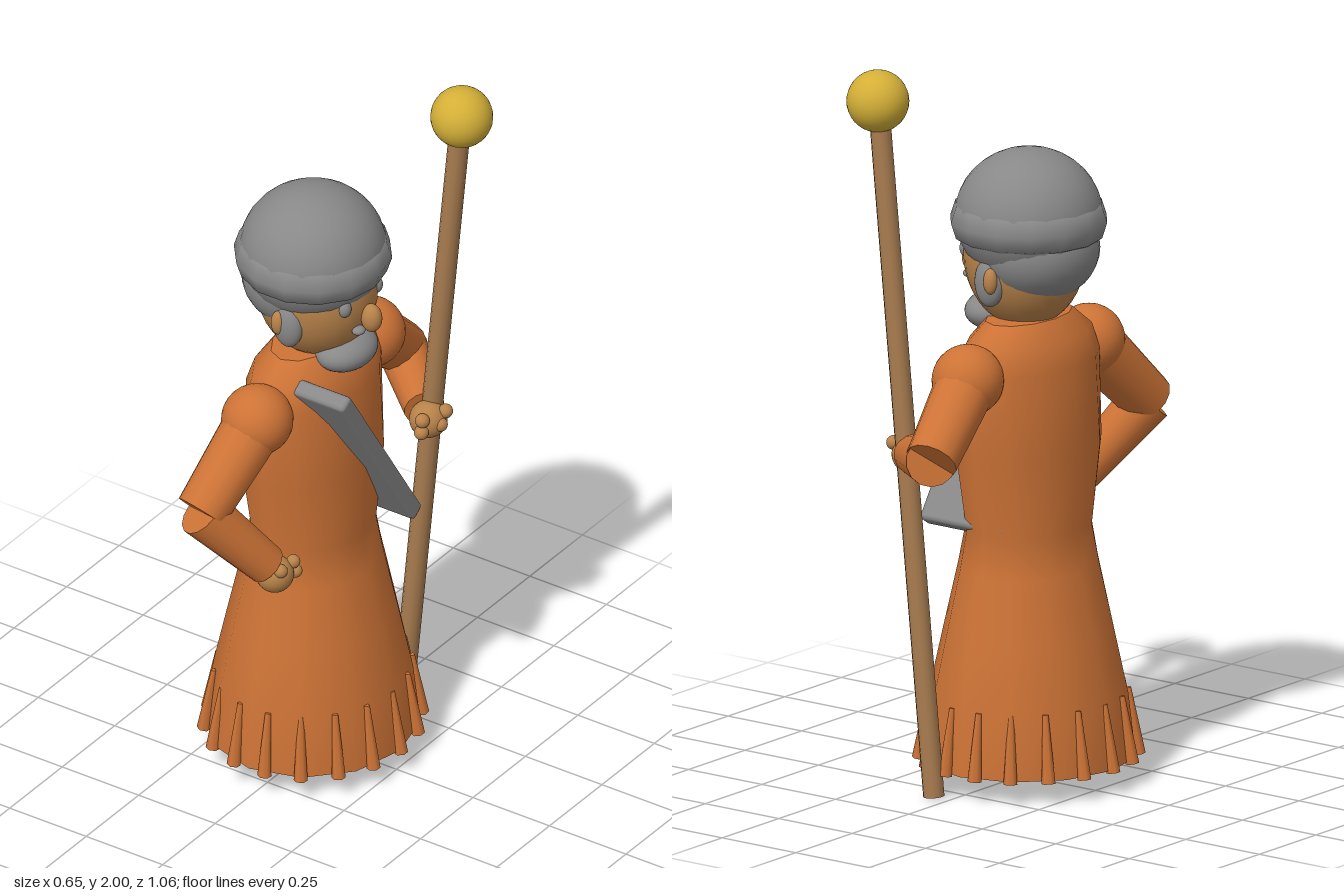
import * as THREE from 'three';
import { RoundedBoxGeometry } from 'three/addons/geometries/RoundedBoxGeometry.js';

const mat = (name, color) => {
  const m = new THREE.MeshStandardMaterial({ color });
  m.name = name;
  return m;
};

export function createModel() {
  const robe = mat('orange robe', 0xcd7336);
  const grey = mat('grey', 0x888888);
  const skin = mat('skin', 0xb9834a);
  const wood = mat('staff wood', 0xa87c50);
  const gold = mat('gold', 0xd4af37);
  const dark = mat('dark shoe', 0x4a3222);
  const model = new THREE.Group();
  const V = (x, y, z) => new THREE.Vector3(x, y, z);

  const add = (name, geo, material, x = 0, y = 0, z = 0) => {
    const m = new THREE.Mesh(geo, material);
    m.name = name;
    m.position.set(x, y, z);
    model.add(m);
    return m;
  };
  const ball = (name, material, p, rx, ry = rx, rz = rx) => {
    const m = add(name, new THREE.SphereGeometry(1, 28, 18), material, ...p);
    m.scale.set(rx, ry, rz);
    return m;
  };
  // tapered cylinder from a to b
  const rod = (name, material, a, b, ra, rb, sides = 12) => {
    const mid = a.clone().add(b).multiplyScalar(0.5);
    const d = b.clone().sub(a);
    const m = add(name, new THREE.CylinderGeometry(rb, ra, d.length(), sides), material, mid.x, mid.y, mid.z);
    m.quaternion.setFromUnitVectors(V(0, 1, 0), d.normalize());
    return m;
  };

  // elliptical lofted robe: [y, x radius, z radius]
  const cx = -0.023;
  const loft = (name, rings, sides = 12) => {
    const pos = [], idx = [];
    rings.forEach(([y, rx, rz]) => {
      for (let i = 0; i < sides; i++) {
        const t = (i / sides) * Math.PI * 2;
        pos.push(cx + rx * Math.cos(t), y, rz * Math.sin(t));
      }
    });
    for (let r = 0; r < rings.length - 1; r++) {
      for (let i = 0; i < sides; i++) {
        const a = r * sides + i, b = r * sides + ((i + 1) % sides);
        idx.push(a, a + sides, b, b, a + sides, b + sides);
      }
    }
    const g = new THREE.BufferGeometry();
    g.setAttribute('position', new THREE.Float32BufferAttribute(pos, 3));
    g.setIndex(idx);
    g.computeVertexNormals();
    add(name, g, robe);
    // flat end caps
    [[rings[0], 1], [rings[rings.length - 1], -1]].forEach(([[y, rx, rz], s]) => {
      const c = add(name + 'Cap', new THREE.CircleGeometry(1, sides), robe, cx, y, 0);
      c.rotation.x = s * Math.PI / 2;
      c.scale.set(rx, rz, 1);
    });
  };
  loft('robe', [
    [0.065, 0.285, 0.305], [0.24, 0.262, 0.292], [0.42, 0.222, 0.255], [0.6, 0.182, 0.215],
    [0.71, 0.16, 0.197], [0.93, 0.172, 0.242], [1.17, 0.155, 0.245], [1.24, 0.13, 0.225], [1.295, 0.09, 0.155],
  ]);

  // hem fringe
  for (let i = 0; i < 18; i++) {
    const t = (i / 18) * Math.PI * 2, c = Math.cos(t), s = Math.sin(t);
    rod('fringe', robe, V(cx + 0.288 * c, 0.06, 0.31 * s), V(cx + 0.258 * c, 0.245, 0.284 * s), 0.019, 0.008, 6);
  }

  // shoe soles just under the hem
  for (const s of [1, -1]) add('shoe', new THREE.BoxGeometry(0.2, 0.04, 0.1), dark, 0.02, 0.073, s * 0.09);

  // head
  ball('face', skin, [-0.01, 1.46, 0], 0.168, 0.2, 0.163);
  ball('hair', grey, [-0.055, 1.485, 0], 0.165, 0.145, 0.172);
  ball('nose', skin, [0.172, 1.42, 0.005], 0.03, 0.042, 0.027);
  ball('beard', grey, [0.085, 1.292, 0], 0.08, 0.055, 0.1);
  for (const s of [1, -1]) {
    ball('eye', grey, [0.132, 1.47, s * 0.075], 0.018, 0.025, 0.019);
    ball('moustache', grey, [0.15, 1.388, s * 0.035], 0.018, 0.012, 0.02);
    ball('sideburn', grey, [-0.003, 1.41, s * 0.148], 0.045, 0.068, 0.03);
    ball('ear', skin, [-0.022, 1.42, s * 0.168], 0.02, 0.036, 0.018);
  }

  // cap with a faceted rolled brim
  ball('cap', grey, [cx, 1.57, 0], 0.2, 0.187, 0.202);
  const brim = add('capBrim', new THREE.TorusGeometry(0.168, 0.048, 8, 14), grey, cx, 1.56, 0);
  brim.rotation.x = Math.PI / 2;
  brim.scale.z = 1.3;

  // arms
  const arm = (prefix, shoulder, elbow, wrist, hand, rUp) => {
    ball(prefix + 'Shoulder', robe, shoulder.toArray(), 0.098);
    rod(prefix + 'UpperArm', robe, shoulder, elbow, 0.084, rUp, 14);
    rod(prefix + 'Forearm', robe, elbow, wrist, 0.07, 0.056, 14);
    ball(prefix + 'Hand', skin, hand.toArray(), 0.052);
  };
  arm('left', V(-0.02, 1.165, 0.27), V(-0.062, 0.962, 0.475), V(0.06, 0.765, 0.34), V(0.075, 0.735, 0.325), 0.072);
  arm('right', V(-0.02, 1.165, -0.265), V(-0.058, 0.99, -0.475), V(0.125, 0.945, -0.315), V(0.155, 0.935, -0.29), 0.072);
  for (const [y, z] of [[0.765, 0.285], [0.73, 0.275], [0.765, 0.345]]) ball('leftFinger', skin, [0.108, y, z], 0.019);
  for (const [y, z] of [[0.96, -0.24], [0.925, -0.235], [0.965, -0.31], [0.935, -0.285]]) {
    ball('rightFinger', skin, [z < -0.25 ? 0.198 : 0.17, y, z], 0.02);
  }

  // slanted plank across the chest
  const plank = add('chestPlank', new RoundedBoxGeometry(0.29, 0.635, 0.05, 1, 0.012), grey, 0.063, 0.98, 0.003);
  plank.rotation.x = 0.574;

  // staff
  rod('staff', wood, V(0.052, 0.003, -0.322), V(0.237, 1.88, -0.322), 0.029, 0.029, 12);
  ball('staffKnob', gold, [0.241, 1.915, -0.324], 0.085);

  return model;
}
